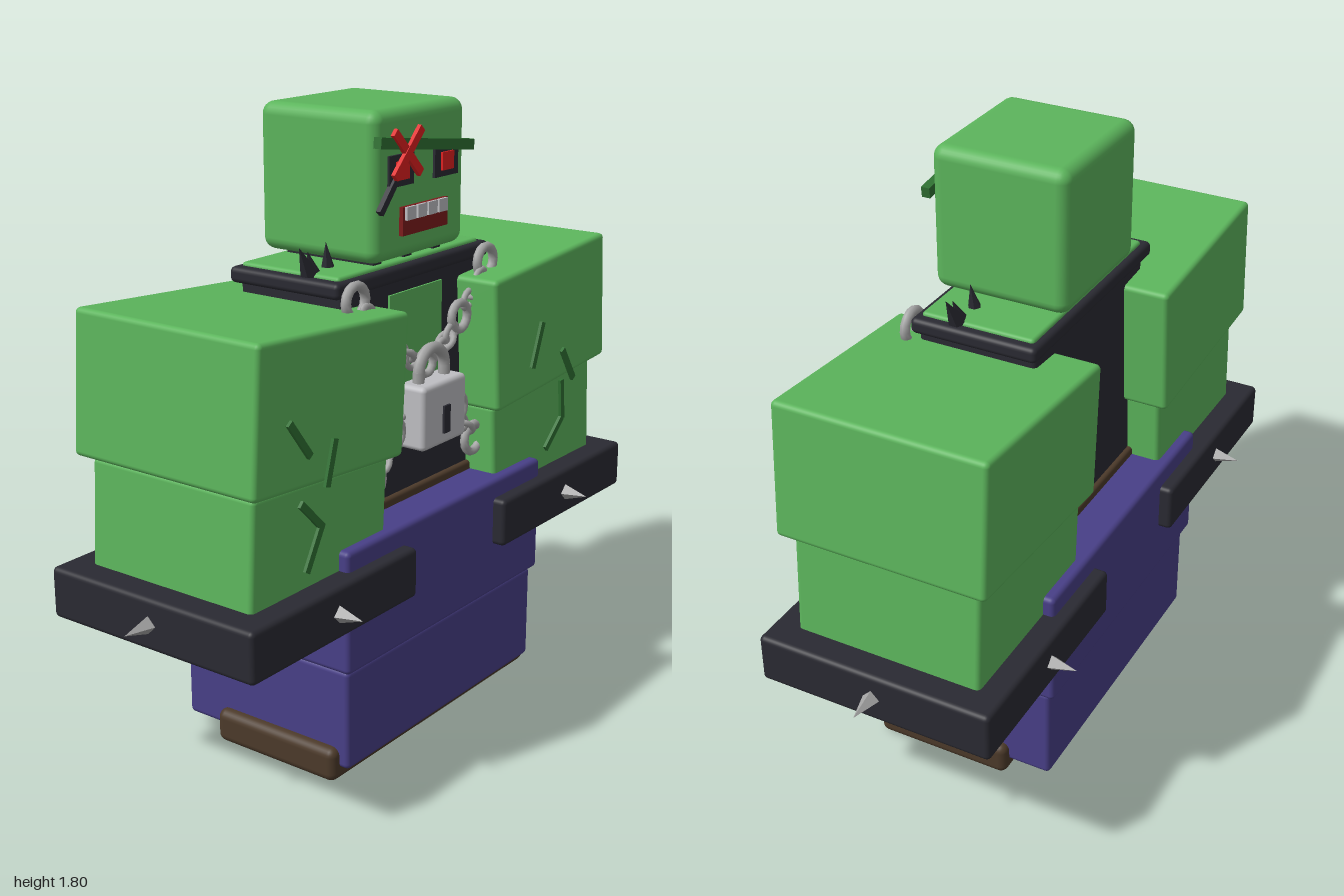
import * as THREE from 'three';
import { RoundedBoxGeometry } from 'three/addons/geometries/RoundedBoxGeometry.js';

const mat = (name, color) => {
  const m = new THREE.MeshStandardMaterial({ color });
  m.name = name;
  return m;
};

export function createModel() {
  const root = new THREE.Group();
  root.name = 'figure';
  const skin = mat('green skin', 0x5cb55c);
  const scar = mat('dark green', 0x2f7032);
  const cloth = mat('near black', 0x2a2a32);
  const blue = mat('indigo cloth', 0x483f87);
  const brown = mat('brown leather', 0x4c3a2a);
  const steel = mat('chain steel', 0xa6a6a6);
  const pale = mat('pale metal', 0xbebec2);
  const red = mat('bright red', 0xe02020);
  const gum = mat('dark red', 0x7c1c1c);

  const add = (name, geo, m, x = 0, y = 0, z = 0, parent = root) => {
    const mesh = new THREE.Mesh(geo, m);
    mesh.name = name;
    mesh.position.set(x, y, z);
    parent.add(mesh);
    return mesh;
  };
  // box given by its low and high limits, with soft edges
  const block = (name, m, [x0, x1], [y0, y1], [z0, z1], r = 0.015) =>
    add(name, new RoundedBoxGeometry(x1 - x0, y1 - y0, z1 - z0, 3, r), m,
      (x0 + x1) / 2, (y0 + y1) / 2, (z0 + z1) / 2);
  const box = (name, m, w, h, d, x, y, z, parent) =>
    add(name, new THREE.BoxGeometry(w, h, d), m, x, y, z, parent);
  // flat bar running from one point to another in a plane facing front
  const bar = (name, m, x0, y0, x1, y1, w, d, z) => {
    const b = box(name, m, Math.hypot(x1 - x0, y1 - y0), w, d, (x0 + x1) / 2, (y0 + y1) / 2, z);
    b.rotation.z = Math.atan2(y1 - y0, x1 - x0);
    return b;
  };
  // cone from a base point to a tip
  const up = new THREE.Vector3(0, 1, 0);
  const spike = (name, m, base, tip, r, sides) => {
    const a = new THREE.Vector3(...base), b = new THREE.Vector3(...tip);
    const dir = b.clone().sub(a);
    const geo = new THREE.ConeGeometry(r, dir.length(), sides).toNonIndexed();
    geo.computeVertexNormals();
    const c = a.add(b).multiplyScalar(0.5);
    const mesh = add(name, geo, m, c.x, c.y, c.z);
    mesh.quaternion.setFromUnitVectors(up, dir.normalize());
  };

  // legs and feet
  block('shoes', brown, [-0.495, 0.495], [0, 0.1], [-0.16, 0.265], 0.025);
  block('lowerTrousers', blue, [-0.465, 0.465], [0.04, 0.335], [-0.29, 0.295]);
  block('upperTrousers', blue, [-0.48, 0.48], [0.335, 0.69], [-0.31, 0.31]);

  // torso, belt and collar
  block('torso', cloth, [-0.33, 0.33], [0.68, 1.35], [-0.175, 0.175]);
  block('belt', brown, [-0.34, 0.34], [0.67, 0.715], [-0.19, 0.19], 0.01);
  block('collar', cloth, [-0.36, 0.36], [1.325, 1.37], [-0.19, 0.185]);
  block('shoulderTop', skin, [-0.33, 0.33], [1.33, 1.38], [-0.17, 0.165], 0.01);
  box('chestOpening', skin, 0.25, 0.45, 0.008, 0.0, 1.07, 0.177);
  box('neck', skin, 0.26, 0.06, 0.26, 0, 1.38, 0);
  for (const x of [-0.14, 0, 0.14]) box('neckStitch', cloth, 0.035, 0.03, 0.3, x, 1.385, 0);

  // arms, cuffs and spikes
  for (const s of [-1, 1]) {
    const upper = add('upperArm', new RoundedBoxGeometry(0.615, 0.395, 0.62, 3, 0.015), skin, s * 0.53, 1.113, 0);
    upper.rotation.z = s * 0.07;
    const fore = add('forearm', new RoundedBoxGeometry(0.555, 0.4, 0.555, 3, 0.015), skin, s * 0.55, 0.715, 0);
    fore.rotation.z = s * 0.06;
    block('cuff', cloth, s > 0 ? [0.22, 0.915] : [-0.915, -0.22], [0.49, 0.635], [-0.35, 0.35]);
    spike('cuffSpike', steel, [s * 0.905, 0.563, 0], [s * 1.0, 0.563, 0], 0.028, 4);
    for (const f of [-1, 1])
      spike('cuffSpike', steel, [s * 0.57, 0.563, f * 0.34], [s * 0.57, 0.563, f * 0.425], 0.028, 4);
    spike('collarSpike', cloth, [s * 0.315, 1.36, 0.06], [s * 0.37, 1.455, 0.065], 0.03, 6);
    spike('collarSpike', cloth, [s * 0.3, 1.36, 0.06], [s * 0.335, 1.44, 0.065], 0.024, 6);
    spike('collarSpike', cloth, [s * 0.235, 1.36, 0.055], [s * 0.25, 1.45, 0.06], 0.024, 6);
  }

  // scars on the arms
  const scars = [
    [-0.74, 1.12, -0.66, 1.015], [-0.56, 1.035, -0.595, 0.915],
    [-0.7, 0.9, -0.615, 0.815], [-0.615, 0.825, -0.68, 0.71],
    [0.435, 1.13, 0.385, 1.0], [0.555, 1.02, 0.625, 0.915],
    [0.555, 0.925, 0.565, 0.8], [0.565, 0.805, 0.475, 0.725],
  ];
  for (const [a, b, c, d] of scars) bar('scar', scar, a, b, c, d, 0.02, 0.009, 0.33);

  // chains: large rings joined by small links
  const ring = (name, x, y, z, r, t, ry = 0) => {
    const m = add(name, new THREE.TorusGeometry(r, t, 8, 14), steel, x, y, z);
    m.rotation.y = ry;
    return m;
  };
  const links = (x0, y0, x1, y1, n) => {
    for (let i = 0; i < n; i++) {
      const t = (i + 0.5) / n;
      const l = ring('chainLink', x0 + (x1 - x0) * t, y0 + (y1 - y0) * t, 0.215, 0.02, 0.009);
      l.scale.set(1.4, 1, 1);
      l.rotation.order = 'ZYX';
      l.rotation.set(i % 2 ? 1.2 : 0, 0, Math.atan2(y1 - y0, x1 - x0));
    }
  };
  for (const s of [-1, 1]) {
    ring('chainRing', s * 0.31, 1.32, 0.205, 0.042, 0.014);
    ring('chainRing', s * 0.165, 1.185, 0.215, 0.04, 0.013);
    ring('chainRing', s * 0.155, 0.915, 0.215, 0.042, 0.013);
    ring('chainRing', s * 0.245, 0.8, 0.215, 0.042, 0.013);
    links(s * 0.28, 1.29, s * 0.195, 1.215, 3);
    links(s * 0.135, 1.155, s * 0.06, 1.1, 3);
    links(s * 0.17, 0.875, s * 0.22, 0.83, 2);
    links(s * 0.1, 0.94, s * 0.13, 0.925, 1);
  }

  // padlock
  block('padlockBody', pale, [-0.105, 0.105], [0.86, 1.045], [0.19, 0.285], 0.015);
  add('padlockShackle', new THREE.TorusGeometry(0.062, 0.017, 8, 16, Math.PI), steel, 0, 1.07, 0.235);
  for (const x of [-0.062, 0.062])
    add('shackleLeg', new THREE.CylinderGeometry(0.017, 0.017, 0.05, 8), steel, x, 1.05, 0.235);
  ring('shackleRing', 0, 1.085, 0.215, 0.035, 0.012);
  box('keyhole', cloth, 0.03, 0.08, 0.009, 0, 0.935, 0.287);

  // head and face
  block('head', skin, [-0.212, 0.212], [1.392, 1.8], [-0.203, 0.197], 0.035);
  bar('headband', scar, -0.218, 1.722, 0.218, 1.668, 0.03, 0.025, 0.207);
  bar('bandTie', cloth, -0.135, 1.615, -0.205, 1.535, 0.02, 0.015, 0.205);
  for (const s of [-1, 1]) {
    box('eyeSocket', cloth, 0.112, 0.085, 0.009, s * 0.105, 1.637, 0.2);
    box('eye', red, 0.055, 0.05, 0.009, s * 0.105, 1.637, 0.206);
  }
  bar('eyeCross', red, -0.165, 1.745, -0.045, 1.625, 0.024, 0.012, 0.222);
  bar('eyeCross', red, -0.045, 1.745, -0.165, 1.625, 0.024, 0.012, 0.224);
  box('mouth', gum, 0.212, 0.078, 0.012, 0, 1.498, 0.203);
  for (let i = 0; i < 4; i++)
    box('tooth', pale, 0.042, 0.036, 0.018, -0.075 + i * 0.05, 1.519, 0.208);

  return root;
}
